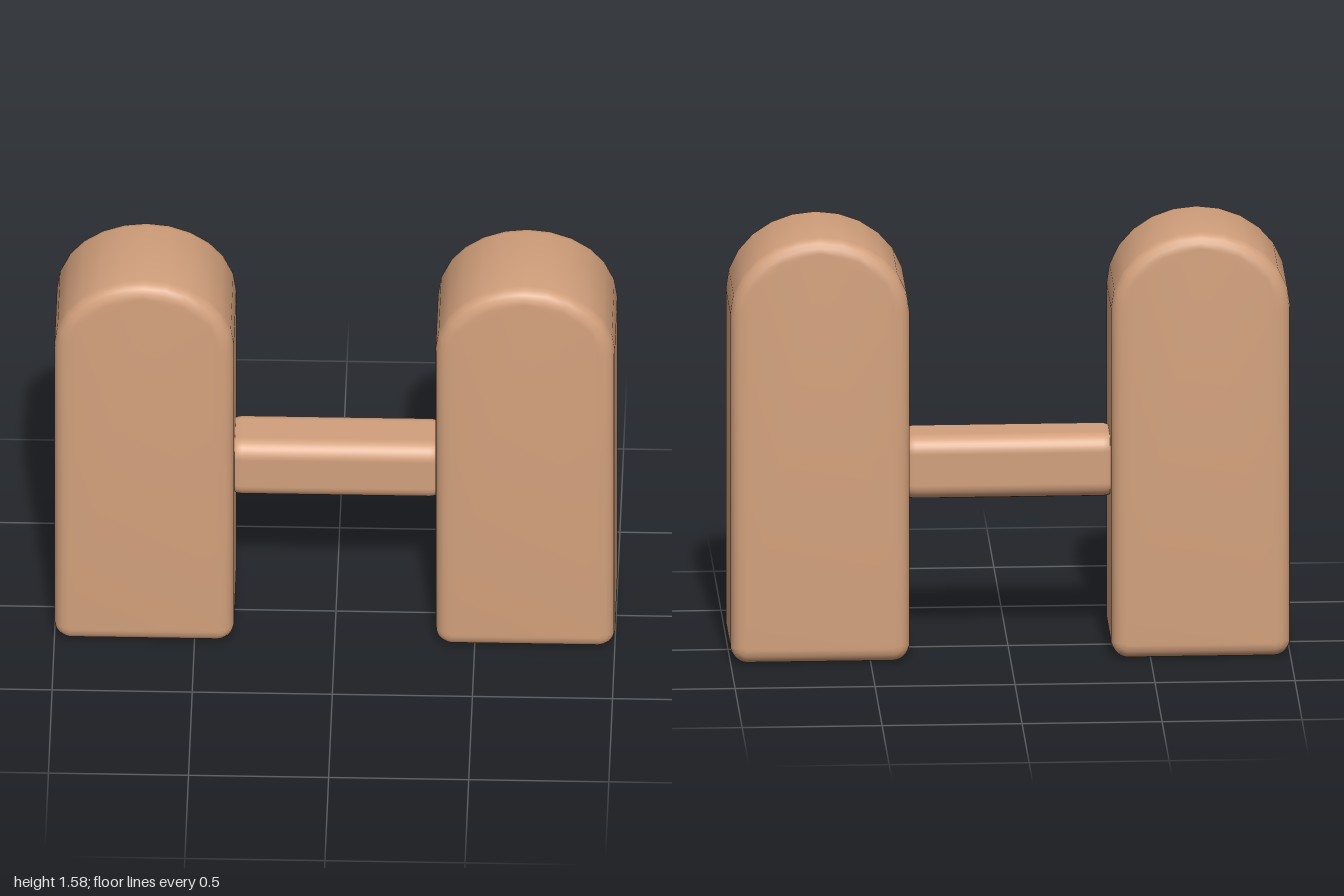
import * as THREE from 'three';
import { toCreasedNormals } from 'three/addons/utils/BufferGeometryUtils.js';
import { RoundedBoxGeometry } from 'three/addons/geometries/RoundedBoxGeometry.js';

const BEVEL = 0.05;

// Arch-topped slab with softly rounded edges, standing on y = 0
function slabGeometry(width, height, depth, archHeight) {
  const w = width / 2 - BEVEL;
  const spring = height - archHeight;
  const r = 0.012; // bottom corner radius before the bevel widens it
  const shape = new THREE.Shape();
  shape.moveTo(-w + r, BEVEL);
  shape.lineTo(w - r, BEVEL);
  shape.absarc(w - r, BEVEL + r, r, -Math.PI / 2, 0, false);
  shape.lineTo(w, spring);
  shape.absellipse(0, spring, w, archHeight - BEVEL, 0, Math.PI, false, 0);
  shape.lineTo(-w, BEVEL + r);
  shape.absarc(-w + r, BEVEL + r, r, Math.PI, Math.PI * 1.5, false);

  const geometry = new THREE.ExtrudeGeometry(shape, {
    depth: depth - 2 * BEVEL,
    bevelSize: BEVEL,
    bevelThickness: BEVEL,
    bevelSegments: 4,
    curveSegments: 6,
  });
  geometry.translate(0, 0, -depth / 2 + BEVEL);
  return toCreasedNormals(geometry, Math.PI / 4);
}

export function createModel() {
  const model = new THREE.Group();
  model.name = 'postsWithCrossbar';
  const material = new THREE.MeshStandardMaterial({ color: 0xd2a07c });

  // Two matching upright posts
  const postGeometry = slabGeometry(0.64, 1.575, 0.425, 0.285);
  for (const [name, side] of [['leftPost', 1], ['rightPost', -1]]) {
    const post = new THREE.Mesh(postGeometry, material);
    post.name = name;
    post.position.x = side * 0.68;
    model.add(post);
  }

  // Rounded bar joining the posts, its ends sunk into them
  const bar = new THREE.Mesh(new RoundedBoxGeometry(0.79, 0.235, 0.23, 4, 0.06), material);
  bar.name = 'crossbar';
  bar.position.y = 0.688;
  model.add(bar);

  return model;
}
